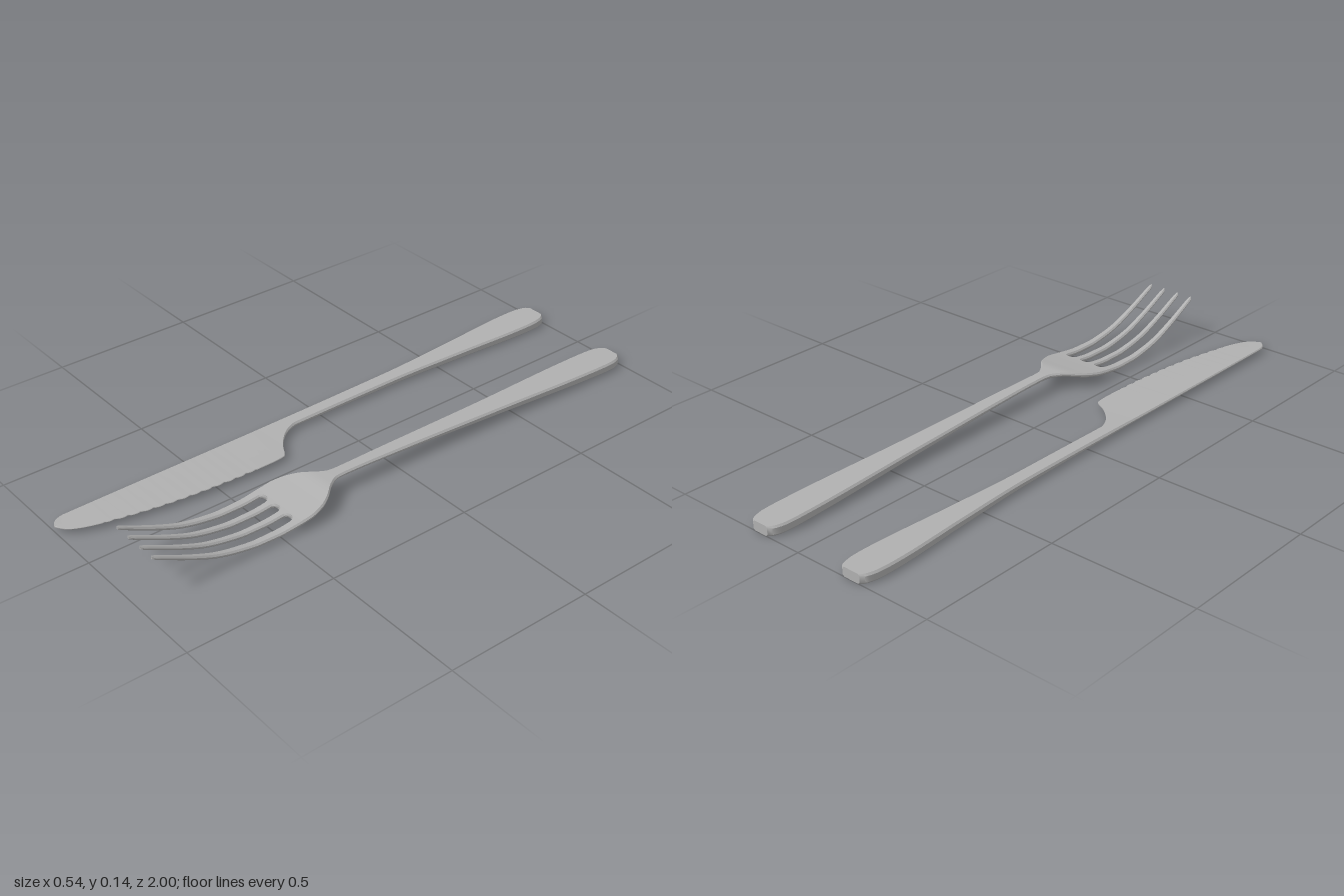
import * as THREE from 'three';
import { toCreasedNormals } from 'three/addons/utils/BufferGeometryUtils.js';

// Smooth, non-overshooting lookup through [z, value] pairs
function curve(pts) {
  const n = pts.length;
  const d = [];
  for (let i = 0; i < n - 1; i++) d.push((pts[i + 1][1] - pts[i][1]) / (pts[i + 1][0] - pts[i][0]));
  const m = pts.map((p, i) => {
    if (i === 0) return d[0];
    if (i === n - 1) return d[n - 2];
    return d[i - 1] * d[i] <= 0 ? 0 : (2 * d[i - 1] * d[i]) / (d[i - 1] + d[i]);
  });
  return (z) => {
    if (z <= pts[0][0]) return pts[0][1];
    if (z >= pts[n - 1][0]) return pts[n - 1][1];
    let i = 0;
    while (z > pts[i + 1][0]) i++;
    const h = pts[i + 1][0] - pts[i][0], t = (z - pts[i][0]) / h, t2 = t * t, t3 = t2 * t;
    return (2 * t3 - 3 * t2 + 1) * pts[i][1] + (t3 - 2 * t2 + t) * h * m[i]
      + (3 * t2 - 2 * t3) * pts[i + 1][1] + (t3 - t2) * h * m[i + 1];
  };
}

// Evenly spaced values from a to b
const range = (a, b, n) => Array.from({ length: n + 1 }, (_, i) => a + ((b - a) * i) / n);

// Skin chamfered cross-sections along z; section(z) gives x0, x1, y and the edge thicknesses t0, t1
function loft(zs, section, bevel = 0.006) {
  const pos = [], idx = [], S = 8;
  for (const z of zs) {
    const { x0, x1, y, t0, t1 } = section(z);
    const b0 = Math.min(bevel, t0 * 0.35, (x1 - x0) * 0.3);
    const b1 = Math.min(bevel, t1 * 0.35, (x1 - x0) * 0.3);
    const a = t0 / 2, c = t1 / 2;
    [[x0 + b0, -a], [x1 - b1, -c], [x1, b1 - c], [x1, c - b1],
      [x1 - b1, c], [x0 + b0, a], [x0, a - b0], [x0, b0 - a]]
      .forEach(([x, dy]) => pos.push(x, y + dy, z));
  }
  const last = (zs.length - 1) * S;
  for (let i = 0; i < last; i += S) {
    for (let j = 0; j < S; j++) {
      const k = (j + 1) % S;
      idx.push(i + j, i + k, i + S + k, i + j, i + S + k, i + S + j);
    }
  }
  for (let j = 1; j < S - 1; j++) idx.push(0, j + 1, j, last, last + j, last + j + 1);
  const g = new THREE.BufferGeometry();
  g.setAttribute('position', new THREE.Float32BufferAttribute(pos, 3));
  g.setIndex(idx);
  return toCreasedNormals(g, 0.6);
}

export function createModel() {
  const steel = new THREE.MeshStandardMaterial({ color: 0xb0b0b0 });
  steel.name = 'brushed steel';
  const model = new THREE.Group();
  model.name = 'cutlery';
  const add = (parent, name, geometry) => {
    const mesh = new THREE.Mesh(geometry, steel);
    mesh.name = name;
    parent.add(mesh);
  };
  const handleEnd = [-1, -0.997, -0.99, -0.98, -0.965, -0.95, -0.925];

  // Fork: shared side profile and thickness
  const fork = new THREE.Group();
  fork.name = 'fork';
  model.add(fork);
  const cx = 0.158, rootZ = 0.437;
  const forkY = curve([[-1, 0.018], [-0.4, 0.037], [0.22, 0.056], [0.27, 0.056], [0.35, 0.043],
    [0.44, 0.028], [0.52, 0.02], [0.58, 0.02], [0.65, 0.028], [0.72, 0.043], [0.8, 0.073], [0.936, 0.137]]);
  const forkT = curve([[-1, 0.033], [-0.4, 0.024], [0.2, 0.015], [0.6, 0.015], [0.936, 0.012]]);
  const forkHalf = curve([[-1, 0.03], [-0.99, 0.042], [-0.975, 0.05], [-0.95, 0.056], [-0.9, 0.058],
    [-0.4, 0.04], [0, 0.027], [0.2, 0.022], [0.23, 0.024], [0.27, 0.045], [0.31, 0.079],
    [0.35, 0.101], [0.4, 0.112], [0.44, 0.112]]);
  add(fork, 'forkHandleAndHead', loft(
    [...handleEnd, ...range(-0.9, 0.18, 24), ...range(0.2, rootZ, 20)],
    (z) => ({ x0: cx - forkHalf(z), x1: cx + forkHalf(z), y: forkY(z), t0: forkT(z), t1: forkT(z) })));

  // Four tines, flaring at the root so the slots end in round arches
  const slots = [0.096, 0.158, 0.22], tips = [0.07, 0.128, 0.188, 0.246];
  const tineZ = [...range(rootZ, 0.46, 8), ...range(0.48, 0.91, 24), 0.92, 0.928, 0.933, 0.936];
  tips.forEach((tip, i) => {
    const edge = (z, side) => {
      const slot = side < 0 ? slots[i - 1] : slots[i];
      const f = (z - rootZ) / (0.936 - rootZ);
      const u = Math.min(1, (z - rootZ) / 0.02);
      const arch = 0.016 * Math.sqrt(1 - (1 - u) ** 2);
      const root = slot === undefined ? cx + side * 0.112 : slot - side * arch;
      const round = Math.sqrt(Math.max(0.08, 1 - Math.max(0, (z - 0.92) / 0.016) ** 2));
      return root + (tip + side * 0.008 * round - root) * f;
    };
    add(fork, 'tine' + (i + 1), loft(tineZ,
      (z) => ({ x0: edge(z, -1), x1: edge(z, 1), y: forkY(z), t0: forkT(z), t1: forkT(z) }), 0.005));
  });

  // Knife: straight spine, bellied serrated edge, thinning towards the edge
  const knife = new THREE.Group();
  knife.name = 'knife';
  model.add(knife);
  const spine = curve([[-1, -0.248], [-0.99, -0.26], [-0.97, -0.268], [-0.94, -0.273], [-0.9, -0.274],
    [-0.6, -0.255], [-0.3, -0.238], [0.15, -0.233], [0.95, -0.229], [0.975, -0.222], [0.99, -0.21], [0.997, -0.198]]);
  const belly = curve([[-1, -0.182], [-0.99, -0.17], [-0.97, -0.162], [-0.94, -0.157], [-0.9, -0.156],
    [-0.6, -0.17], [-0.3, -0.182], [0.11, -0.182], [0.14, -0.174], [0.17, -0.158], [0.2, -0.131],
    [0.225, -0.1], [0.245, -0.065], [0.255, -0.058], [0.3, -0.054], [0.4, -0.054], [0.5, -0.059],
    [0.6, -0.067], [0.7, -0.08], [0.8, -0.099], [0.9, -0.124], [0.95, -0.143], [0.98, -0.163],
    [0.997, -0.188]]);
  const teeth = (z) => (z > 0.36 && z < 0.88 ? 0.005 * (Math.abs(Math.sin(((z - 0.36) / 0.04) * Math.PI)) - 1) : 0);
  const knifeY = curve([[-1, 0.017], [0.2, 0.018], [1, 0.018]]);
  const spineT = curve([[-1, 0.032], [-0.4, 0.024], [0.12, 0.016], [0.3, 0.012], [0.997, 0.008]]);
  const edgeT = curve([[-1, 0.032], [-0.4, 0.024], [0.12, 0.016], [0.25, 0.005], [0.997, 0.004]]);
  const knifeSection = (z) => ({ x0: spine(z), x1: belly(z) + teeth(z), y: knifeY(z), t0: spineT(z), t1: edgeT(z) });
  add(knife, 'knifeHandle', loft([...handleEnd, ...range(-0.9, 0.1, 24)], knifeSection));
  add(knife, 'knifeBlade', loft(
    [...range(0.1, 0.24, 14), 0.245, 0.25, 0.255, ...range(0.27, 0.35, 4), ...range(0.36, 0.88, 78),
      ...range(0.89, 0.97, 8), 0.98, 0.987, 0.993, 0.997], knifeSection));
  return model;
}
